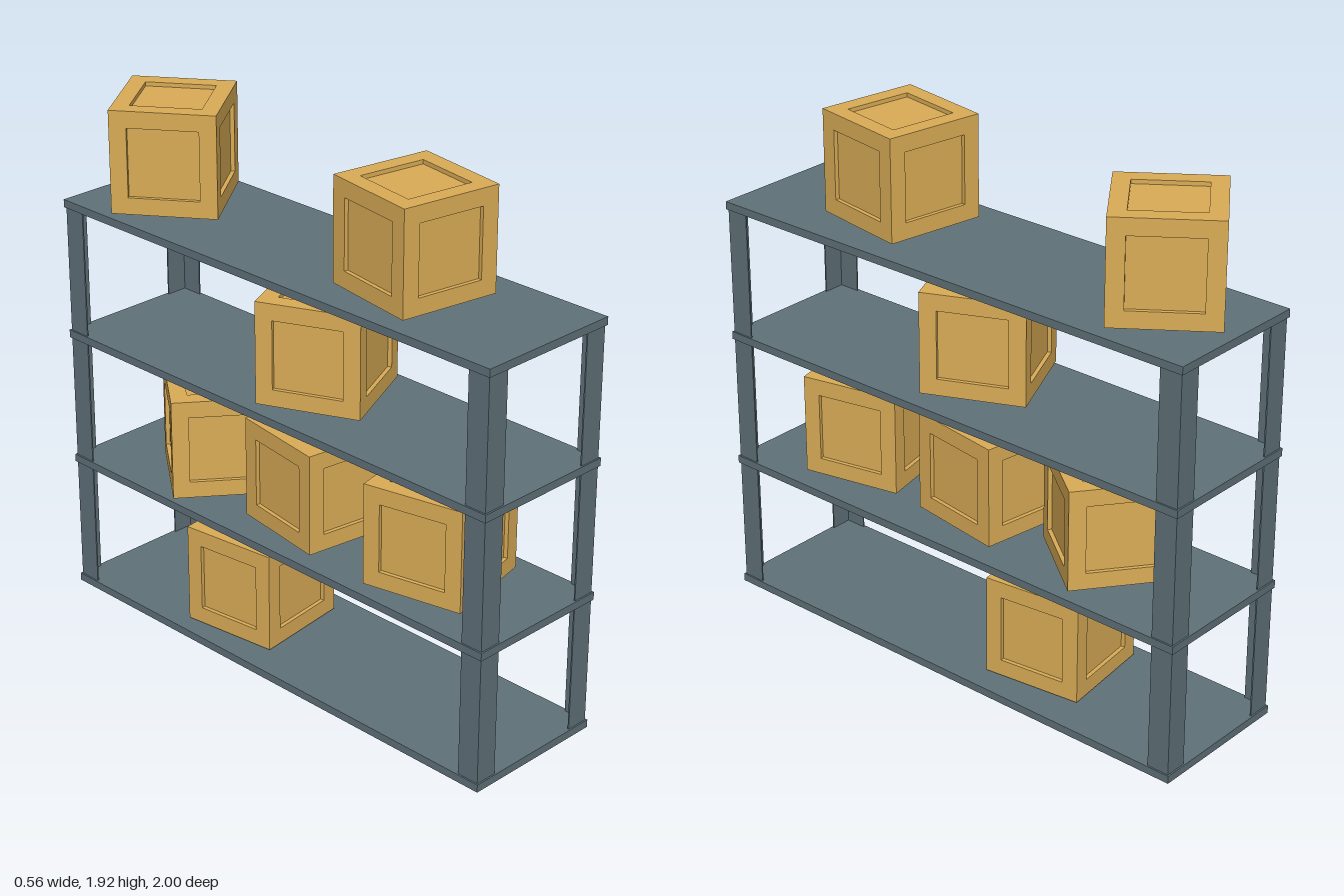
import * as THREE from 'three';
import { mergeGeometries } from 'three/addons/utils/BufferGeometryUtils.js';

const steel = new THREE.MeshStandardMaterial({ color: 0x5f7179 });
steel.name = 'slate steel';
const wood = new THREE.MeshStandardMaterial({ color: 0xdbad57 });
wood.name = 'crate wood';

const SIZE = 0.374, PANEL = 0.252, RECESS = 0.015;

// One crate side facing +z: flat border, recess walls and sunken panel
function crateSide() {
  const h = SIZE / 2, p = PANEL / 2;
  const ring = (r, z) => [[-r, -r, z], [r, -r, z], [r, r, z], [-r, r, z]];
  const loops = [ring(h, h), ring(p, h), ring(p, h - RECESS)];
  const pos = [];
  const quad = (a, b, c, d) => pos.push(...a, ...b, ...c, ...a, ...c, ...d);
  for (let k = 0; k < 2; k++) {
    for (let i = 0; i < 4; i++) {
      const j = (i + 1) % 4;
      quad(loops[k][i], loops[k][j], loops[k + 1][j], loops[k + 1][i]);
    }
  }
  quad(...loops[2]);
  const g = new THREE.BufferGeometry();
  g.setAttribute('position', new THREE.Float32BufferAttribute(pos, 3));
  g.computeVertexNormals();
  return g;
}

// Six sides make the crate
function crateGeometry() {
  const sides = [];
  for (let i = 0; i < 4; i++) sides.push(crateSide().rotateY(i * Math.PI / 2));
  sides.push(crateSide().rotateX(Math.PI / 2), crateSide().rotateX(-Math.PI / 2));
  return mergeGeometries(sides);
}

// L-shaped angle post with its outer corner on the y axis
function postGeometry(height) {
  const w = 0.085, t = 0.005;
  const outline = [[0, 0], [0, w], [-t, w], [-t, t], [-w, t], [-w, 0]];
  const shape = new THREE.Shape(outline.map(([x, y]) => new THREE.Vector2(x, y)));
  return new THREE.ExtrudeGeometry(shape, { depth: height, bevelEnabled: false })
    .rotateX(-Math.PI / 2);
}

export function createModel() {
  const model = new THREE.Group();
  model.name = 'storageRack';

  // Four shelves
  const shelfGeo = new THREE.BoxGeometry(0.56, 0.029, 2);
  for (let i = 0; i < 4; i++) {
    const shelf = new THREE.Mesh(shelfGeo, steel);
    shelf.name = 'shelf' + (i + 1);
    shelf.position.y = 0.0145 + i * 0.5;
    model.add(shelf);
  }

  // Corner posts, each turned so its legs point inward
  const postGeo = postGeometry(1.5).translate(0, 0.01, 0);
  const corners = [[1, 1], [1, -1], [-1, -1], [-1, 1]];
  corners.forEach(([sx, sz], i) => {
    const post = new THREE.Mesh(postGeo, steel);
    post.name = 'cornerPost' + (i + 1);
    post.position.set(sx * 0.274, 0, sz * 0.994);
    post.rotation.y = i * Math.PI / 2;
    model.add(post);
  });

  // Crates: base height, z, turn in degrees
  const crateGeo = crateGeometry();
  const crates = [
    [0.038, -0.293, 7],
    [0.541, 0.574, 12.2],
    [0.541, 0.012, -8.6],
    [0.541, -0.501, -37.5],
    [1.05, 0.041, 24.2],
    [1.545, -0.707, 35.8],
    [1.545, 0.435, -9.5],
  ];
  crates.forEach(([y, z, turn], i) => {
    const crate = new THREE.Mesh(crateGeo, wood);
    crate.name = 'crate' + (i + 1);
    crate.position.set(-0.014, y + SIZE / 2, z);
    crate.rotation.y = THREE.MathUtils.degToRad(turn);
    model.add(crate);
  });

  return model;
}
